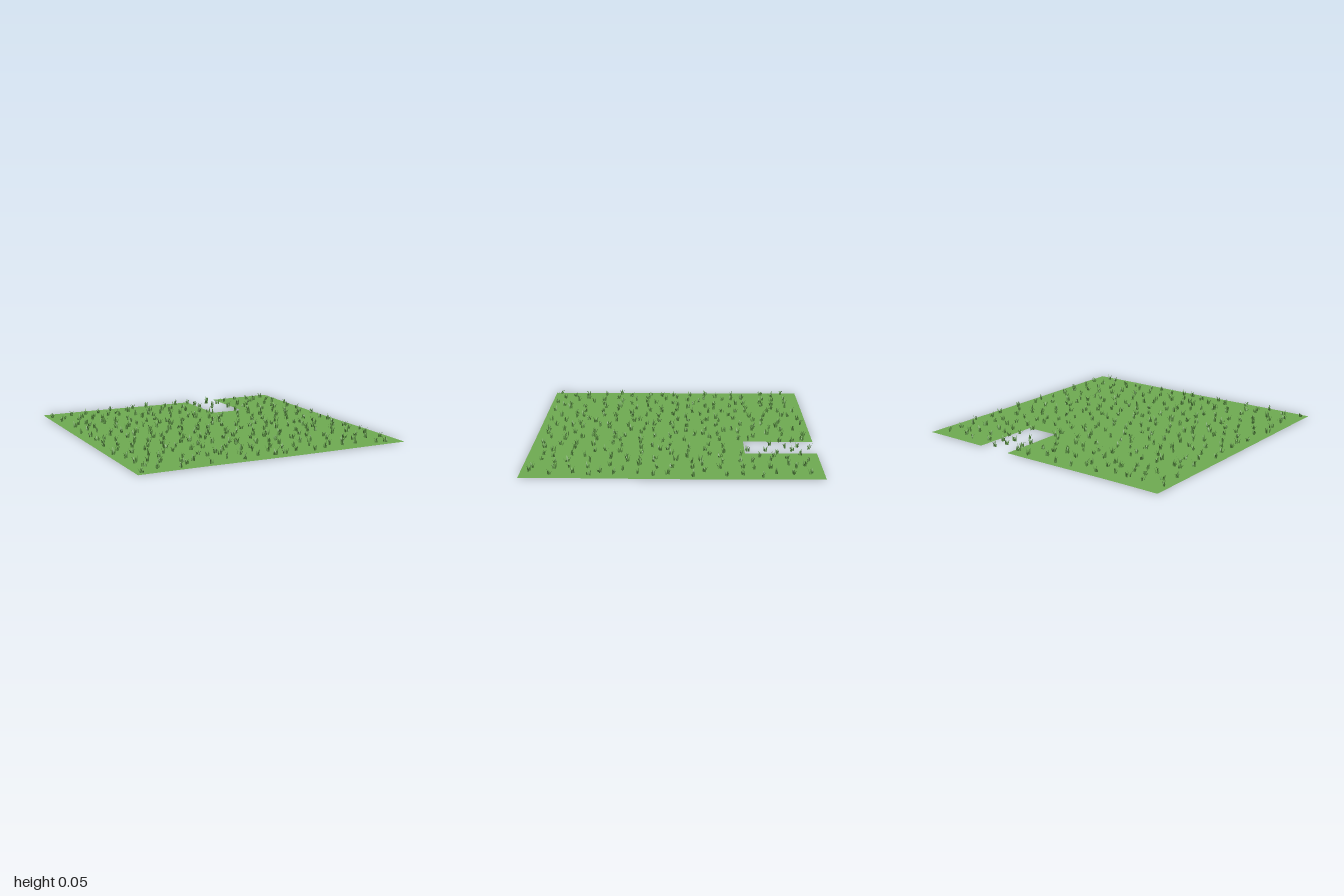
import * as THREE from 'three';
import { mergeGeometries } from 'three/addons/utils/BufferGeometryUtils.js';

const lawnGreen = new THREE.MeshStandardMaterial({ name: 'lawn green', color: 0x6fab52, side: THREE.DoubleSide });
const bladeGreen = new THREE.MeshStandardMaterial({ name: 'blade green', color: 0x5a9043, side: THREE.DoubleSide });

// Small seeded random source
let seed = 7;
function rand(min, max) {
  seed = (seed * 16807) % 2147483647;
  return min + (max - min) * (seed / 2147483647);
}

// Very gentle unevenness of the lawn
const groundHeight = (x, z) => 0.006 + 0.002 * Math.sin(x * 4 + 1) * Math.cos(z * 3.4 + 0.5);

// Rectangular cut-out at the back edge
const inNotch = (x, z, pad = 0) => x > 0.25 - pad && x < 0.5 + pad && z < -0.5 + pad;

// Lawn: a grid of cells with the notch left out
function lawnGeometry() {
  const n = 16, step = 2 / n, positions = [], index = [];
  for (let j = 0; j <= n; j++) {
    for (let i = 0; i <= n; i++) {
      const x = -1 + i * step, z = -1 + j * step;
      positions.push(x, groundHeight(x, z), z);
    }
  }
  for (let j = 0; j < n; j++) {
    for (let i = 0; i < n; i++) {
      if (inNotch(-1 + (i + 0.5) * step, -1 + (j + 0.5) * step)) continue;
      const a = j * (n + 1) + i, b = a + 1, c = a + n + 1, d = c + 1;
      index.push(a, c, b, b, c, d);
    }
  }
  const g = new THREE.BufferGeometry();
  g.setAttribute('position', new THREE.Float32BufferAttribute(positions, 3));
  g.setIndex(index);
  g.computeVertexNormals();
  return g;
}

// One blade: a tapered strip that curves outward to a point
function bladeGeometry(height, width, lean) {
  const g = new THREE.PlaneGeometry(1, 1, 1, 4);
  const p = g.attributes.position;
  for (let i = 0; i < p.count; i++) {
    const t = p.getY(i) + 0.5;
    const w = width * (t < 0.3 ? 0.6 + t * 1.33 : (1 - t) / 0.7);
    p.setXYZ(i, p.getX(i) * w, height * t, lean * t * t + 0.003);
  }
  g.computeVertexNormals();
  return g;
}

// One tuft: a ring of blades leaning different ways
function tuftGeometry(x, z) {
  const blades = [], count = 6, start = rand(0, Math.PI * 2), scale = rand(0.95, 1.2);
  for (let i = 0; i < count; i++) {
    const blade = bladeGeometry(rand(0.024, 0.045) * scale, rand(0.011, 0.015), rand(0.008, 0.022));
    blade.rotateY(start + (i / count) * Math.PI * 2 + rand(-0.5, 0.5));
    blade.translate(rand(-0.01, 0.01), 0, rand(-0.01, 0.01));
    blades.push(blade);
  }
  const g = mergeGeometries(blades);
  g.translate(x, 0.005, z);
  return g;
}

export function createModel() {
  seed = 7;
  const model = new THREE.Group();
  model.name = 'grassField';

  const lawn = new THREE.Mesh(lawnGeometry(), lawnGreen);
  lawn.name = 'lawn';
  model.add(lawn);

  // Tufts scattered on a staggered, jittered grid
  const tufts = [], n = 17, step = 1.94 / n;
  for (let j = 0; j < n; j++) {
    for (let i = 0; i < n; i++) {
      const shift = j % 2 ? 0.2 : -0.2;
      const x = -0.97 + (i + 0.5 + shift + rand(-0.28, 0.28)) * step;
      const z = -0.97 + (j + 0.5 + rand(-0.36, 0.36)) * step;
      if (!inNotch(x, z, 0.03)) tufts.push(tuftGeometry(x, z));
    }
  }

  // Tufts standing over the cut-out
  const notchTufts = [
    [0.41, -0.95], [0.37, -0.87], [0.45, -0.83], [0.25, -0.85], [0.38, -0.78], [0.25, -0.76],
    [0.33, -0.68], [0.5, -0.72], [0.46, -0.64], [0.22, -0.54], [0.46, -0.52],
  ];
  for (const [x, z] of notchTufts) tufts.push(tuftGeometry(x, z));

  const grass = new THREE.Mesh(mergeGeometries(tufts), bladeGreen);
  grass.name = 'grassTufts';
  model.add(grass);

  // Stand the lowest point on y = 0
  const box = new THREE.Box3().setFromObject(model);
  for (const part of model.children) part.position.y = -box.min.y;
  return model;
}
